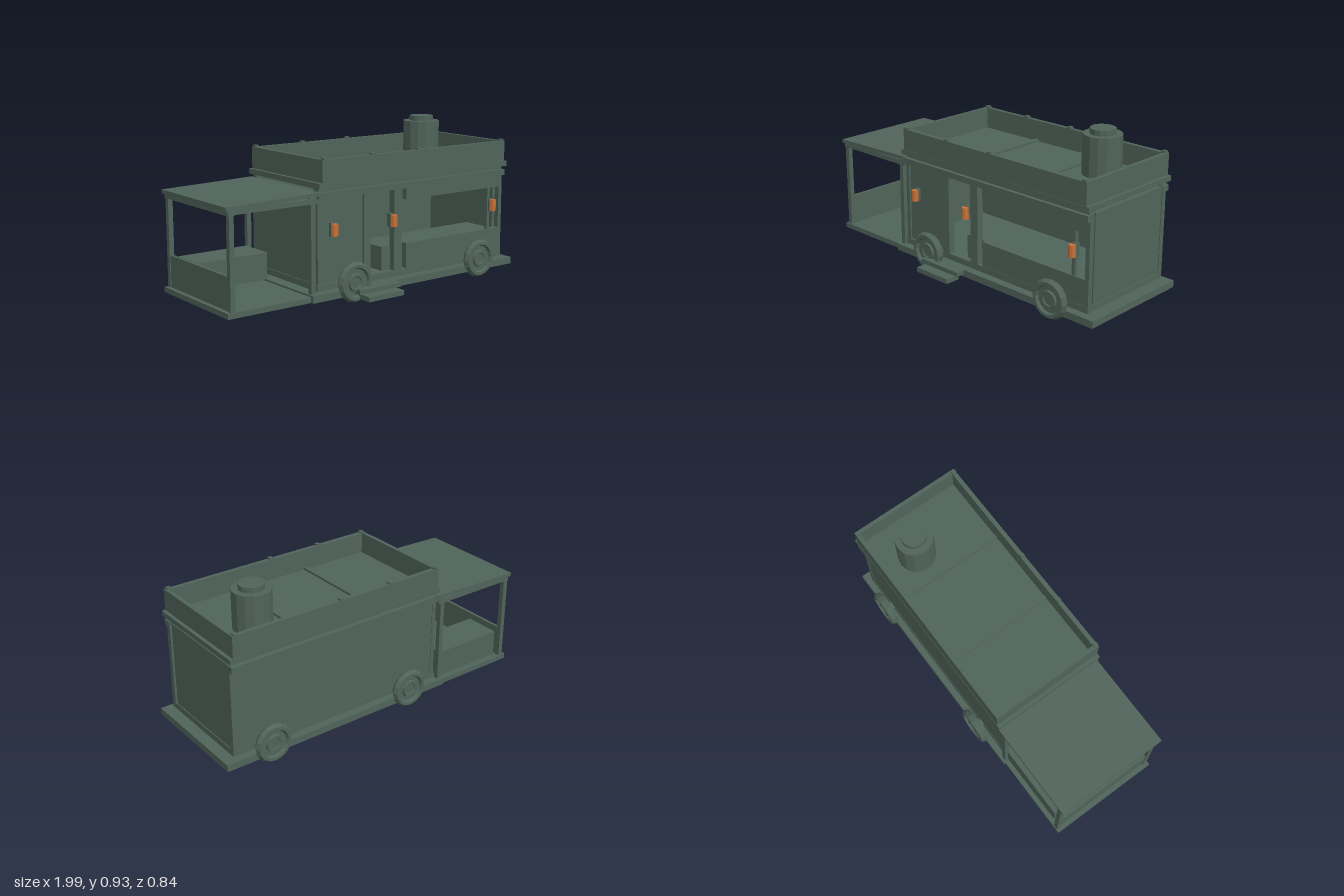
import * as THREE from 'three';

export function createModel() {
  const model = new THREE.Group();
  const green = new THREE.MeshStandardMaterial({ color: 0x50645a });
  green.name = 'weathered green';
  const orange = new THREE.MeshStandardMaterial({ color: 0xc87137 });
  orange.name = 'lantern orange';

  const add = (name, geo, mat = green) => {
    const g = geo.index ? geo.toNonIndexed() : geo;
    g.computeVertexNormals(); // faceted look
    const mesh = new THREE.Mesh(g, mat);
    mesh.name = name;
    model.add(mesh);
    return mesh;
  };
  // Box given by its limits on each axis
  const box = (name, x0, x1, y0, y1, z0, z1) => {
    const m = add(name, new THREE.BoxGeometry(x1 - x0, y1 - y0, z1 - z0));
    m.position.set((x0 + x1) / 2, (y0 + y1) / 2, (z0 + z1) / 2);
    return m;
  };

  // Chassis, porch deck and entry steps
  box('chassis', -0.49, 0.99, 0.04, 0.08, -0.39, 0.31);
  box('porchDeck', -1, -0.48, 0.04, 0.07, -0.38, 0.29);
  box('floorSpacer', -0.42, 0.91, 0.08, 0.09, -0.33, 0.25);
  box('cabinFloor', -0.44, 0.93, 0.09, 0.125, -0.355, 0.277);
  box('upperStep', -0.22, 0.07, 0.055, 0.08, 0.28, 0.365);
  box('lowerStep', -0.2, 0.045, 0.022, 0.05, 0.33, 0.42);

  // Cabin walls
  box('backWall', -0.43, 0.92, 0.125, 0.625, -0.352, -0.325);
  box('rightEndWall', 0.9, 0.925, 0.125, 0.622, -0.34, 0.23);
  box('leftEndWall', -0.435, -0.41, 0.125, 0.622, -0.34, 0.24);
  box('frontPanel', -0.43, -0.12, 0.125, 0.625, 0.24, 0.265);
  for (const x of [-0.435, 0.905])
    for (const z of [-0.355, 0.245]) box('cornerPost', x, x + 0.025, 0.125, 0.625, z, z + 0.03);
  box('doorPostLeft', -0.125, -0.08, 0.125, 0.625, 0.235, 0.277);
  box('doorPostRight', 0.09, 0.145, 0.125, 0.625, 0.235, 0.277);

  // Serving window and inner counter
  box('windowHeader', 0.18, 0.907, 0.52, 0.62, 0.24, 0.275);
  box('windowApron', 0.18, 0.907, 0.125, 0.27, 0.24, 0.275);
  box('counter', 0.03, 0.89, 0.125, 0.262, 0.02, 0.24);
  box('windowPost', 0.815, 0.835, 0.27, 0.52, 0.25, 0.272);

  // Roof supports and rails, mirrored front and back
  box('frontRoofBeam', -0.43, 0.92, 0.6, 0.65, 0.235, 0.275);
  box('backRoofBeam', -0.43, 0.92, 0.6, 0.65, -0.352, -0.32);
  box('frontRail', -0.44, 0.93, 0.59, 0.625, 0.275, 0.297);
  box('backRail', -0.44, 0.93, 0.59, 0.625, -0.378, -0.352);

  // Roof terrace: slab, parapet, seams and studs
  box('roofSlab', -0.44, 0.94, 0.645, 0.675, -0.382, 0.302);
  for (const z of [-0.38, 0.275]) {
    box('longParapet', -0.42, 0.92, 0.675, 0.798, z, z + 0.025);
    for (const x of [-0.4, -0.08, 0.25, 0.9])
      box('parapetStud', x - 0.012, x + 0.012, 0.79, 0.808, z, z + 0.025);
  }
  for (const x of [-0.42, 0.897]) box('endParapet', x, x + 0.023, 0.675, 0.798, -0.36, 0.28);
  for (const x of [0.015, 0.48]) box('roofSeam', x - 0.012, x + 0.012, 0.67, 0.688, -0.355, 0.275);

  // Chimney
  const stack = (name, r, y0, y1) => {
    const m = add(name, new THREE.CylinderGeometry(r, r, y1 - y0, 14));
    m.position.set(0.655, (y0 + y1) / 2, -0.15);
  };
  stack('chimney', 0.108, 0.67, 0.9);
  stack('chimneyCap', 0.071, 0.9, 0.93);

  // Porch: posts, frame, sloped roof, end panel and bench
  for (const x of [-0.98, -0.482])
    for (const z of [-0.375, 0.255]) box('porchPost', x, x + 0.028, 0.07, 0.59, z, z + 0.028);
  for (const x of [-0.985, -0.487]) box('porchCrossBeam', x, x + 0.038, 0.565, 0.6, -0.375, 0.283);
  for (const z of [-0.375, 0.255]) box('porchLongBeam', -0.98, -0.44, 0.568, 0.595, z, z + 0.028);
  const porchRoof = box('porchRoof', -1, -0.42, 0.598, 0.62, -0.38, 0.29);
  porchRoof.rotation.z = 0.027;
  box('porchEndPanel', -0.975, -0.958, 0.07, 0.25, -0.36, 0.27);
  box('porchBench', -0.925, -0.485, 0.08, 0.235, -0.355, -0.14);

  // Wheels: ridged tyre, recessed disc and raised hub turned in one profile
  const profile = [
    [0, -0.018], [0.085, -0.018], [0.1, -0.022], [0.113, 0], [0.1, 0.022],
    [0.083, 0.022], [0.075, 0.006], [0.052, 0.006], [0.048, 0.018],
    [0.034, 0.018], [0.03, 0.012], [0, 0.012],
  ].map(([r, h]) => new THREE.Vector2(r, h));
  for (const x of [-0.215, 0.71])
    for (const side of [1, -1]) {
      const wheel = add('wheel', new THREE.LatheGeometry(profile, 16));
      wheel.rotation.x = side * Math.PI / 2;
      wheel.position.set(x, 0.115, side > 0 ? 0.315 : -0.397);
      const axle = add('axle', new THREE.CylinderGeometry(0.03, 0.03, 0.05, 10));
      axle.rotation.x = Math.PI / 2;
      axle.position.set(x, 0.115, side > 0 ? 0.28 : -0.365);
    }

  // Lanterns on wall brackets
  for (const x of [-0.34, 0.07, 0.835]) {
    box('lanternBracket', x - 0.012, x + 0.012, 0.378, 0.454, 0.252, 0.285);
    const lantern = add('lantern', new THREE.CylinderGeometry(0.02, 0.02, 0.066, 8), orange);
    lantern.position.set(x, 0.417, 0.297);
  }
  return model;
}
